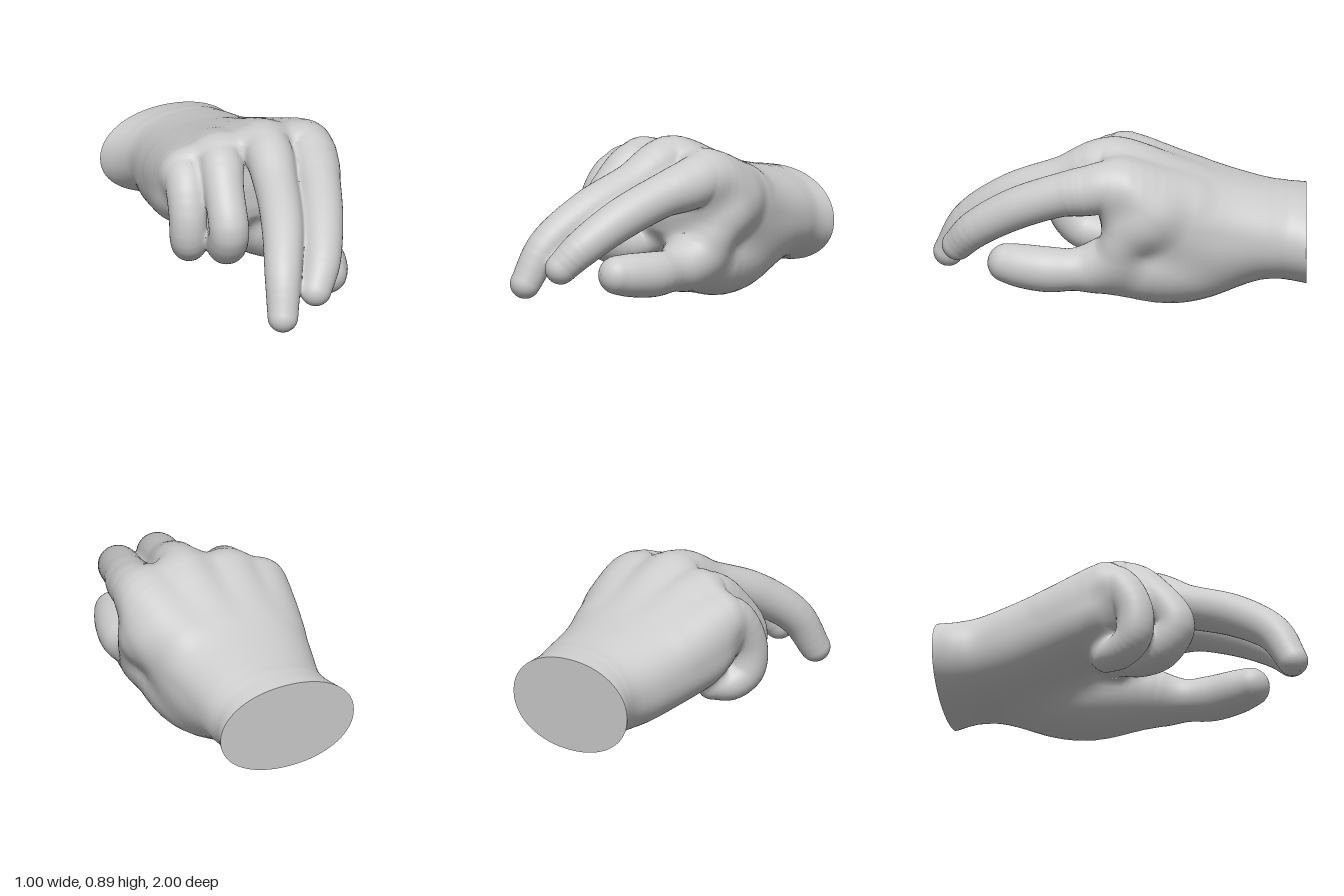
import * as THREE from 'three';

const material = new THREE.MeshStandardMaterial({ color: 0xcccccc, roughness: 0.8 });
const { smoothstep, lerp, clamp } = THREE.MathUtils;

// Wrist and palm sections: [z, xRight, xLeft, yTop, yBottom, squareness]
const SECTIONS = [
  [-1.0, -0.46, 0.33, 0.58, 0.07, 2.1],
  [-0.9, -0.40, 0.31, 0.60, 0.09, 2.1],
  [-0.8, -0.375, 0.325, 0.62, 0.105, 2.2],
  [-0.6, -0.41, 0.36, 0.67, 0.12, 2.3],
  [-0.4, -0.45, 0.41, 0.735, 0.17, 2.4],
  [-0.22, -0.48, 0.45, 0.79, 0.23, 2.5],
  [-0.1, -0.48, 0.48, 0.82, 0.28, 2.6],
  [0.0, -0.46, 0.45, 0.84, 0.32, 2.8],
  [0.07, -0.42, 0.41, 0.82, 0.36, 2.6],
  [0.105, -0.33, 0.33, 0.75, 0.43, 2.2],
  [0.12, -0.02, 0.02, 0.60, 0.58, 2.0],
];

// Limbs as centre lines: [x, y, z, radius]
const FINGERS = {
  indexFinger: [
    [0.24, 0.58, -0.36, 0.10], [0.32, 0.70, 0.02, 0.137], [0.305, 0.67, 0.17, 0.135],
    [0.27, 0.635, 0.32, 0.118], [0.19, 0.53, 0.57, 0.112], [0.10, 0.39, 0.78, 0.10],
    [0.03, 0.285, 0.87, 0.085],
  ],
  middleFinger: [
    [0.04, 0.60, -0.36, 0.10], [0.07, 0.762, 0.04, 0.132], [0.03, 0.66, 0.30, 0.118],
    [-0.045, 0.545, 0.58, 0.112], [-0.135, 0.375, 0.81, 0.098], [-0.18, 0.185, 0.92, 0.082],
  ],
  ringFinger: [
    [-0.15, 0.58, -0.36, 0.10], [-0.18, 0.72, 0.0, 0.122], [-0.22, 0.60, 0.18, 0.108],
    [-0.235, 0.43, 0.285, 0.108], [-0.215, 0.31, 0.205, 0.11], [-0.17, 0.285, 0.09, 0.10],
    [-0.14, 0.30, -0.02, 0.09],
  ],
  littleFinger: [
    [-0.30, 0.52, -0.36, 0.10], [-0.36, 0.64, -0.04, 0.115], [-0.395, 0.48, 0.09, 0.103],
    [-0.39, 0.32, 0.09, 0.10], [-0.35, 0.25, 0.01, 0.092], [-0.29, 0.25, -0.08, 0.08],
  ],
};
const THUMB = {
  thumb: [
    [0.03, 0.34, -0.72, 0.15], [0.10, 0.27, -0.50, 0.225], [0.15, 0.243, -0.28, 0.24],
    [0.205, 0.235, -0.02, 0.18], [0.25, 0.215, 0.20, 0.115], [0.26, 0.215, 0.38, 0.122],
    [0.23, 0.225, 0.52, 0.118], [0.205, 0.235, 0.605, 0.105],
  ],
  thumbWeb: [
    [0.35, 0.55, -0.18, 0.12], [0.35, 0.42, -0.03, 0.115], [0.315, 0.30, 0.03, 0.11],
    [0.27, 0.23, 0.14, 0.09],
  ],
};

// Smooth samples along a limb: the path and its radius
function sampleLimb(pts, steps) {
  const path = new THREE.CatmullRomCurve3(pts.map(p => new THREE.Vector3(p[0], p[1], p[2])));
  const radius = new THREE.CatmullRomCurve3(pts.map((p, i) => new THREE.Vector3(p[3], i * 0.1, 0)));
  return Array.from({ length: steps + 1 }, (_, i) => {
    const t = i / steps;
    return { c: path.getPoint(t), T: path.getTangent(t), r: radius.getPoint(t).x };
  });
}

// Smooth samples along the palm sections
const curveOf = o => new THREE.CatmullRomCurve3(SECTIONS.map(s => new THREE.Vector3(s[o], s[o + 1], s[o + 2])));
const PALM = (() => {
  const a = curveOf(0), b = curveOf(3);
  return Array.from({ length: 111 }, (_, i) => [...a.getPoint(i / 110).toArray(), ...b.getPoint(i / 110).toArray()]);
})();

// The knuckle line slopes down and back towards the little finger
const backSlope = x => 0.35 * clamp(-x / 0.45, 0, 1);
const sideSlope = (x, z) => 0.06 * x * smoothstep(z, -0.6, 0);

function palmDistance(x, y, zIn) {
  const z = zIn > -0.2 ? (zIn + 0.2) / (1 - backSlope(x)) - 0.2 : zIn;
  const last = PALM.length - 1;
  let i = 0;
  while (i < last - 1 && PALM[i + 1][0] < z) i++;
  const A = PALM[i], B = PALM[i + 1], t = clamp((z - A[0]) / (B[0] - A[0]), 0, 1);
  const [x0, x1, top, bottom, n] = [1, 2, 3, 4, 5].map(k => lerp(A[k], B[k], t));
  const dx = x - (x0 + x1) / 2, dy = y - sideSlope(x, z) - (top + bottom) / 2;
  const q = Math.pow(Math.pow(Math.abs(2 * dx / (x1 - x0)), n) + Math.pow(Math.abs(2 * dy / (top - bottom)), n), 1 / n);
  return Math.hypot(dx, dy) * (1 - 1 / Math.max(q, 0.01)) + Math.max(0, z - PALM[last][0]);
}

function limbDistance(samples, x, y, z) {
  let best = Infinity;
  for (let i = 0; i < samples.length - 1; i++) {
    const { c: a, r: ra } = samples[i], { c: b, r: rb } = samples[i + 1];
    const ux = b.x - a.x, uy = b.y - a.y, uz = b.z - a.z;
    const vx = x - a.x, vy = y - a.y, vz = z - a.z;
    const t = clamp((ux * vx + uy * vy + uz * vz) / (ux * ux + uy * uy + uz * uz), 0, 1);
    best = Math.min(best, Math.hypot(vx - t * ux, vy - t * uy, vz - t * uz) - lerp(ra, rb, t));
  }
  return best;
}

// Distance to the skin, with the parts flowing into each other through soft fillets
const blend = (a, b, k) => Math.min(a, b) - Math.max(k - Math.abs(a - b), 0) ** 2 / (4 * k);
const fingerLines = Object.values(FINGERS).map(p => sampleLimb(p, 40));
const thumbLines = Object.values(THUMB).map(p => sampleLimb(p, 40));
function skin(x, y, z) {
  const fingers = fingerLines.map(l => limbDistance(l, x, y, z)).reduce((a, b) => blend(a, b, 0.035));
  const body = thumbLines.reduce((d, l) => blend(d, limbDistance(l, x, y, z), 0.1), palmDistance(x, y, z));
  // the fillet fades out so that the thumb tip stays clear of the fingers
  return blend(fingers, body, lerp(0.09, 0.005, smoothstep(z, 0.15, 0.35)));
}
function skinGradient({ x, y, z }, out) {
  const e = 0.008;
  return out.set(
    skin(x + e, y, z) - skin(x - e, y, z),
    skin(x, y + e, z) - skin(x, y - e, z),
    skin(x, y, z + e) - skin(x, y, z - e),
  ).divideScalar(2 * e);
}

// Skin a list of closed rings, then settle the vertices near the surface onto the blended skin
function loft(name, rings) {
  const n = rings[0].length, pos = [], normal = [], index = [], g = new THREE.Vector3();
  for (const p of rings.flat()) {
    let f = skin(p.x, p.y, p.z);
    skinGradient(p, g);
    for (let i = 0; i < 4 && f > -0.04 && Math.abs(f) > 0.0005; i++) {
      p.addScaledVector(g, -clamp(f / Math.max(g.lengthSq(), 0.1), -0.04, 0.04));
      p.z = Math.max(p.z, -1);
      f = skin(p.x, p.y, p.z);
      skinGradient(p, g);
    }
    pos.push(p.x, p.y, p.z);
    normal.push(...g.normalize().toArray());
  }
  for (let i = 0; i < rings.length - 1; i++) {
    for (let j = 0; j < n; j++) {
      const k = (j + 1) % n, a = i * n + j, b = i * n + k;
      index.push(a, b, a + n, b, b + n, a + n);
    }
  }
  const geo = new THREE.BufferGeometry();
  geo.setAttribute('position', new THREE.Float32BufferAttribute(pos, 3));
  geo.setAttribute('normal', new THREE.Float32BufferAttribute(normal, 3));
  geo.setIndex(index);
  const mesh = new THREE.Mesh(geo, material);
  mesh.name = name;
  return mesh;
}

// Round limb along its centre line, ending in a rounded tip
function limb(name, pts) {
  const X = new THREE.Vector3(1, 0, 0), samples = sampleLimb(pts, 60), tip = samples[60];
  for (let i = 1; i <= 8; i++) {
    const a = i / 8 * Math.PI / 2;
    const c = tip.c.clone().addScaledVector(tip.T, tip.r * Math.sin(a));
    samples.push({ c, T: tip.T, r: Math.max(tip.r * Math.cos(a), 0.001) });
  }
  return loft(name, samples.map(({ c, T, r }) => {
    const up = T.clone().cross(X).normalize(), side = up.clone().cross(T);
    return Array.from({ length: 36 }, (_, j) => {
      const a = j / 36 * Math.PI * 2;
      return c.clone().addScaledVector(side, r * Math.cos(a)).addScaledVector(up, r * Math.sin(a));
    });
  }));
}

function palmRings() {
  const power = (v, e) => Math.sign(v) * Math.pow(Math.abs(v), e);
  return PALM.map(([z, x0, x1, top, bottom, n]) => Array.from({ length: 120 }, (_, j) => {
    const a = j / 120 * Math.PI * 2;
    const x = (x0 + x1) / 2 + (x1 - x0) / 2 * power(Math.cos(a), 2 / n);
    const y = (top + bottom) / 2 + (top - bottom) / 2 * power(Math.sin(a), 2 / n);
    return new THREE.Vector3(x, y + sideSlope(x, z), z - Math.max(0, z + 0.2) * backSlope(x));
  }));
}

export function createModel() {
  const hand = new THREE.Group();
  hand.name = 'hand';
  const rings = palmRings();
  hand.add(loft('palm', rings));
  for (const [name, pts] of Object.entries({ ...FINGERS, ...THUMB })) hand.add(limb(name, pts));

  // Flat cut at the wrist, facing backwards
  const outline = new THREE.Shape(rings[0].map(p => new THREE.Vector2(-p.x, p.y)));
  const cut = new THREE.Mesh(new THREE.ShapeGeometry(outline).rotateY(Math.PI), material);
  cut.position.z = -1;
  cut.name = 'wristCut';
  hand.add(cut);
  return hand;
}
